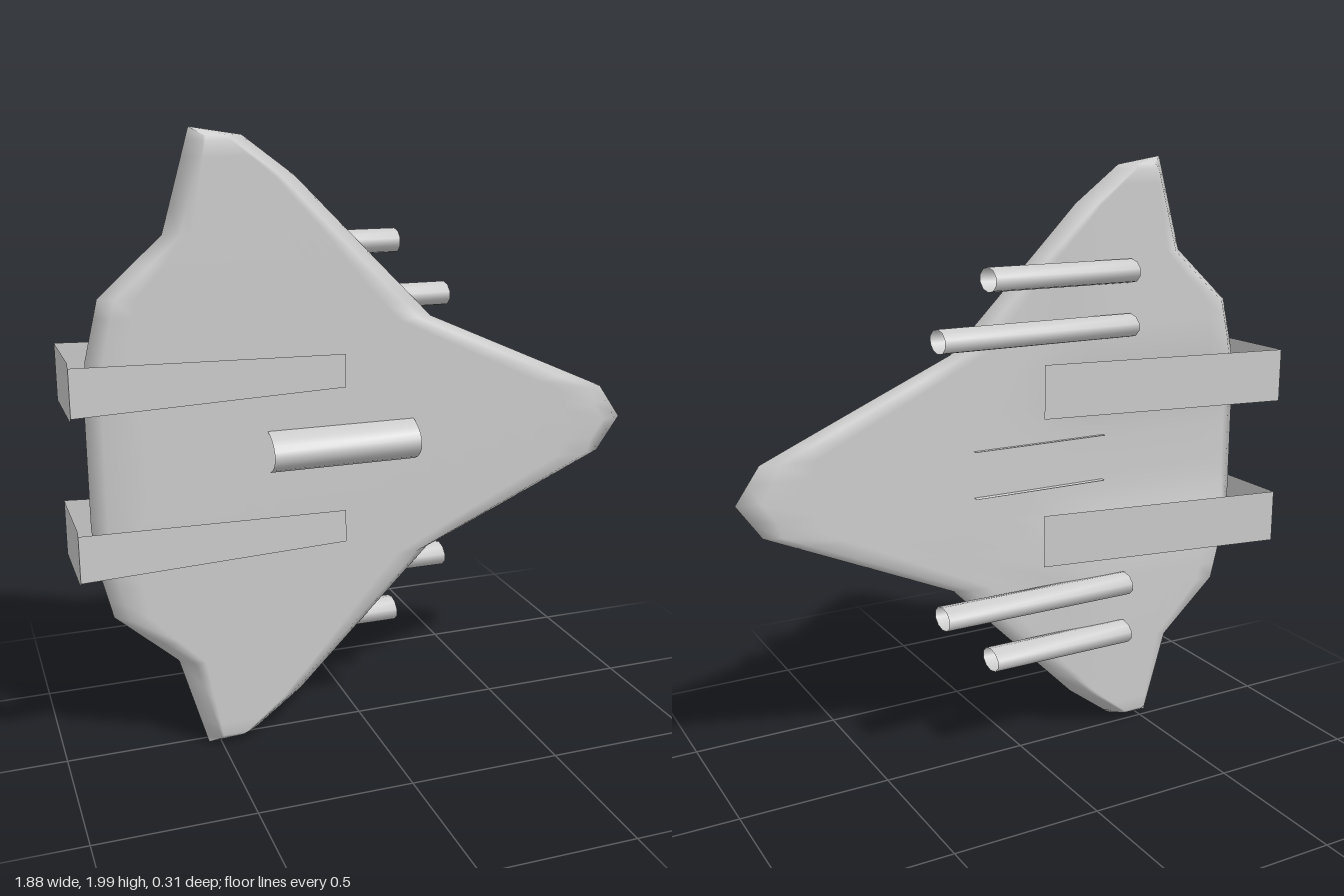
import * as THREE from 'three';

const CY = 1.005; // height of the mirror plane
const mat = new THREE.MeshStandardMaterial({ color: 0xcccccc, side: THREE.DoubleSide });

// piecewise linear lookup in a list of [input, output]
function lerpTable(table, t) {
  for (let i = 1; i < table.length; i++) {
    const [a, va] = table[i - 1], [b, vb] = table[i];
    if (t <= b) return va + (vb - va) * (t - a) / (b - a);
  }
  return table[table.length - 1][1];
}

// surface through rows of points of equal length
function loft(rows, closed) {
  const n = rows[0].length, pos = rows.flat(2), idx = [];
  for (let r = 0; r < rows.length - 1; r++) {
    for (let i = 0; i < (closed ? n : n - 1); i++) {
      const j = (i + 1) % n, a = r * n + i, b = r * n + j;
      idx.push(a, b, a + n, b, b + n, a + n);
    }
  }
  const g = new THREE.BufferGeometry();
  g.setAttribute('position', new THREE.Float32BufferAttribute(pos, 3));
  g.setIndex(idx);
  g.computeVertexNormals();
  return g;
}

// outline: distance from the mirror plane -> leading and trailing edge x
const leading = [[0, 0.94], [0.115, 0.86], [0.395, 0.23], [0.85, -0.22], [0.97, -0.38], [0.995, -0.54]];
const trailing = [[0, -0.885], [0.2, -0.885], [0.32, -0.875], [0.505, -0.83], [0.685, -0.63], [0.995, -0.54]];

// back surface: recessed along the middle and nose, fuller at the wings
function backZ(x, d) {
  const wing = 1 - THREE.MathUtils.smoothstep(x, -0.32, -0.02);
  const out = THREE.MathUtils.smoothstep(d, 0.08, 0.4);
  return 0.018 + 0.014 * Math.max(x, 0) - 0.036 * wing * out;
}

function hullGeometry() {
  const ds = [0, 0.06, 0.115, 0.16, 0.2, 0.26, 0.32, 0.395, 0.45, 0.505, 0.6, 0.685, 0.77, 0.85, 0.91, 0.955, 0.97, 0.995];
  const ys = [...ds.slice(1).reverse().map(d => -d), ...ds];
  const steps = 14;
  const rows = ys.map(s => {
    const d = Math.abs(s), y = CY + s;
    const f = lerpTable(leading, d), r = lerpTable(trailing, d), chord = f - r;
    const fi = f - Math.min(d < 0.115 ? 0.075 : 0.055, chord * 0.3);
    const ri = r + Math.min(0.045, chord * 0.3);
    const full = Math.min(1, (0.995 - d) / 0.035); // closes the wing tips
    const mid = x => 0.032 + 0.02 * THREE.MathUtils.smoothstep(x, -0.3, 0.9);
    const row = [[r, y, mid(r)]];
    for (let i = 0; i <= steps; i++) {
      const x = ri + (fi - ri) * i / steps;
      row.push([x, y, mid(x) + (0.078 - mid(x)) * full]);
    }
    row.push([f, y, mid(f)]);
    for (let i = steps; i >= 0; i--) {
      const x = ri + (fi - ri) * i / steps;
      row.push([x, y, mid(x) + (backZ(x, d) - mid(x)) * full]);
    }
    return row;
  });
  return loft(rows, true);
}

// open tube along x with an elliptical section
function tube(x0, x1, y, z, ry, rz, sides, start = 0, sweep = Math.PI * 2) {
  const ring = x => Array.from({ length: sides + 1 }, (_, i) => {
    const a = start + sweep * i / sides;
    return [x, y + ry * Math.cos(a), z + rz * Math.sin(a)];
  });
  return loft([ring(x0), ring(x1)], false);
}

// flat four-cornered sheet spanning y +-h0 at one end and +-h1 at the other
function sheet(x0, z0, h0, x1, z1, h1, y) {
  return loft([
    [[x0, y - h0, z0], [x0, y + h0, z0]],
    [[x1, y - h1, z1], [x1, y + h1, z1]],
  ], false);
}

export function createModel() {
  const group = new THREE.Group();
  const add = (name, geometry, parent = group) => {
    const m = new THREE.Mesh(geometry, mat);
    m.name = name;
    parent.add(m);
  };

  add('hull', hullGeometry());

  // arched canopy, its walls passing through the hull
  add('canopy', tube(-0.33, 0.16, CY, 0, 0.079, 0.155, 14, 0, Math.PI));

  for (const side of [1, -1]) {
    const label = side > 0 ? 'upper' : 'lower';

    // open tubes behind the wings
    add(label + 'InnerTube', tube(-0.4, 0.305, CY + side * 0.453, -0.03, 0.039, 0.056, 10));
    add(label + 'OuterTube', tube(-0.4, 0.13, CY + side * 0.632, -0.03, 0.039, 0.056, 10));

    // band folded around the tail
    const band = new THREE.Group();
    band.name = label + 'TailBand';
    const y = CY + side * 0.255;
    add('bandFront', sheet(-0.09, 0.13, 0.053, -0.94, 0.155, 0.075, y), band);
    add('bandEnd', sheet(-0.94, 0.155, 0.09, -0.94, -0.16, 0.09, y), band);
    add('bandBack', sheet(-0.94, -0.16, 0.09, -0.08, -0.02, 0.09, y), band);
    group.add(band);
  }
  return group;
}
